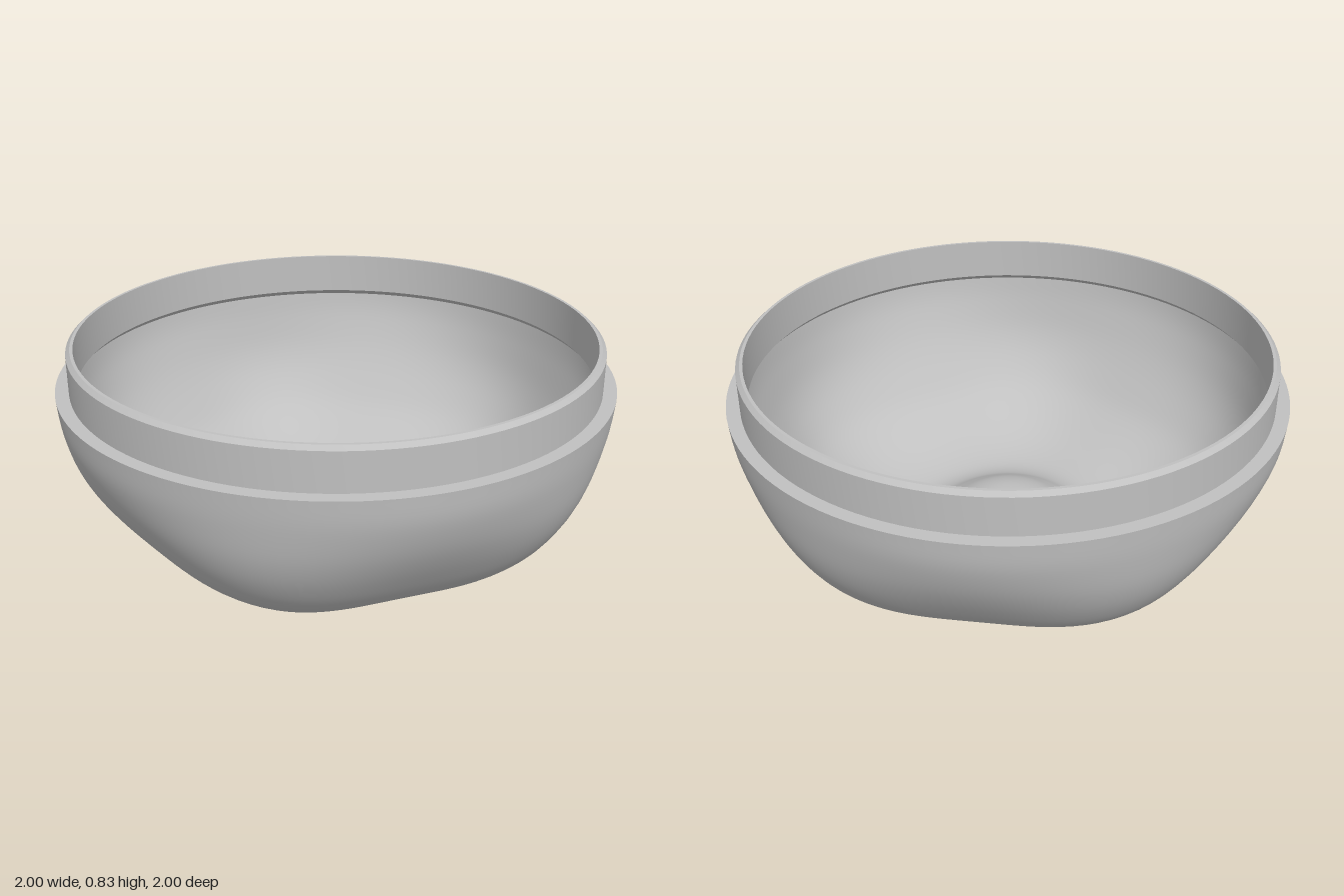
import * as THREE from 'three';
import { mergeVertices, toCreasedNormals } from 'three/addons/utils/BufferGeometryUtils.js';

const SEGMENTS = 120;
const VALLEY = THREE.MathUtils.degToRad(27); // direction of the first of five valleys

const points = (list) => list.map(([r, y]) => new THREE.Vector2(r, y));
const smooth = (u, a, b) => THREE.MathUtils.smoothstep(u, a, b);

// Smooth lathe whose lower part is pinched into five soft lobes
function lobedShell(profile, floor) {
  const curve = new THREE.SplineCurve(points(profile)).getPoints(60);
  curve.forEach((p) => { p.x = Math.max(p.x, 0); });
  let geo = new THREE.LatheGeometry(curve, SEGMENTS);
  const pos = geo.attributes.position;
  for (let i = 0; i < pos.count; i++) {
    const x = pos.getX(i), y = pos.getY(i), z = pos.getZ(i);
    const r = Math.hypot(x, z);
    const valley = 0.5 + 0.5 * Math.cos(5 * (Math.atan2(z, x) - VALLEY));
    const pinch = 0.07 * valley * smooth(r, 0.1, 0.7) * (1 - smooth(y - floor, 0.2, 0.62));
    const lift = 0.012 * valley * smooth(r, 0.2, 0.55) * (1 - smooth(r, 0.6, 0.9));
    pos.setXYZ(i, x * (1 - pinch), y + lift, z * (1 - pinch));
  }
  geo.deleteAttribute('uv');
  geo.deleteAttribute('normal');
  geo = mergeVertices(geo, 1e-5);
  geo.computeVertexNormals();
  return geo;
}

export function createModel() {
  const group = new THREE.Group();
  const grey = new THREE.MeshStandardMaterial({ color: 0xc0c0c0, side: THREE.DoubleSide });
  grey.name = 'grey';
  const add = (name, geo, parent = group) => {
    const mesh = new THREE.Mesh(geo, grey);
    mesh.name = name;
    parent.add(mesh);
    return mesh;
  };

  // Outer wall, from the dimple under the base up to the shoulder
  add('outerBowl', lobedShell([
    [0, 0.13], [0.1, 0.121], [0.18, 0.093], [0.25, 0.054], [0.33, 0.016], [0.42, 0],
    [0.55, 0.022], [0.69, 0.085], [0.82, 0.187], [0.905, 0.3], [0.958, 0.42],
    [0.987, 0.56], [1, 0.68],
  ], 0));

  // Cavity, from under the collar down to the raised centre of the floor
  add('innerBowl', lobedShell([
    [0.947, 0.66], [0.935, 0.56], [0.907, 0.43], [0.857, 0.32], [0.777, 0.215],
    [0.66, 0.127], [0.54, 0.073], [0.42, 0.05], [0.33, 0.064], [0.25, 0.108],
    [0.17, 0.152], [0.09, 0.175], [0, 0.18],
  ], 0.05));

  // Flat shoulder and the upright collar that holds a lid
  const collar = new THREE.LatheGeometry(points([
    [1, 0.68], [0.952, 0.68], [0.952, 0.818], [0.937, 0.832], [0.926, 0.832],
    [0.926, 0.68], [0.947, 0.66],
  ]), SEGMENTS);
  add('collar', toCreasedNormals(collar, 0.4));

  // Small five-armed calyx in the dimple, one arm to each lobe
  const calyx = new THREE.Group();
  calyx.name = 'calyx';
  group.add(calyx);
  const hub = new THREE.Vector3(0, 0.11, 0);
  const up = new THREE.Vector3(0, 1, 0);
  for (let i = 0; i < 5; i++) {
    const a = VALLEY + ((i + 0.5) * Math.PI * 2) / 5;
    const arm = new THREE.Vector3(0.175 * Math.cos(a), 0.078, 0.175 * Math.sin(a)).sub(hub);
    const cone = new THREE.ConeGeometry(0.024, arm.length(), 6).translate(0, arm.length() / 2, 0);
    const mesh = add('calyxArm', toCreasedNormals(cone, 0.4), calyx);
    mesh.position.copy(hub);
    mesh.quaternion.setFromUnitVectors(up, arm.normalize());
  }
  add('calyxHub', new THREE.SphereGeometry(0.026, 16, 10), calyx).position.copy(hub);

  return group;
}
